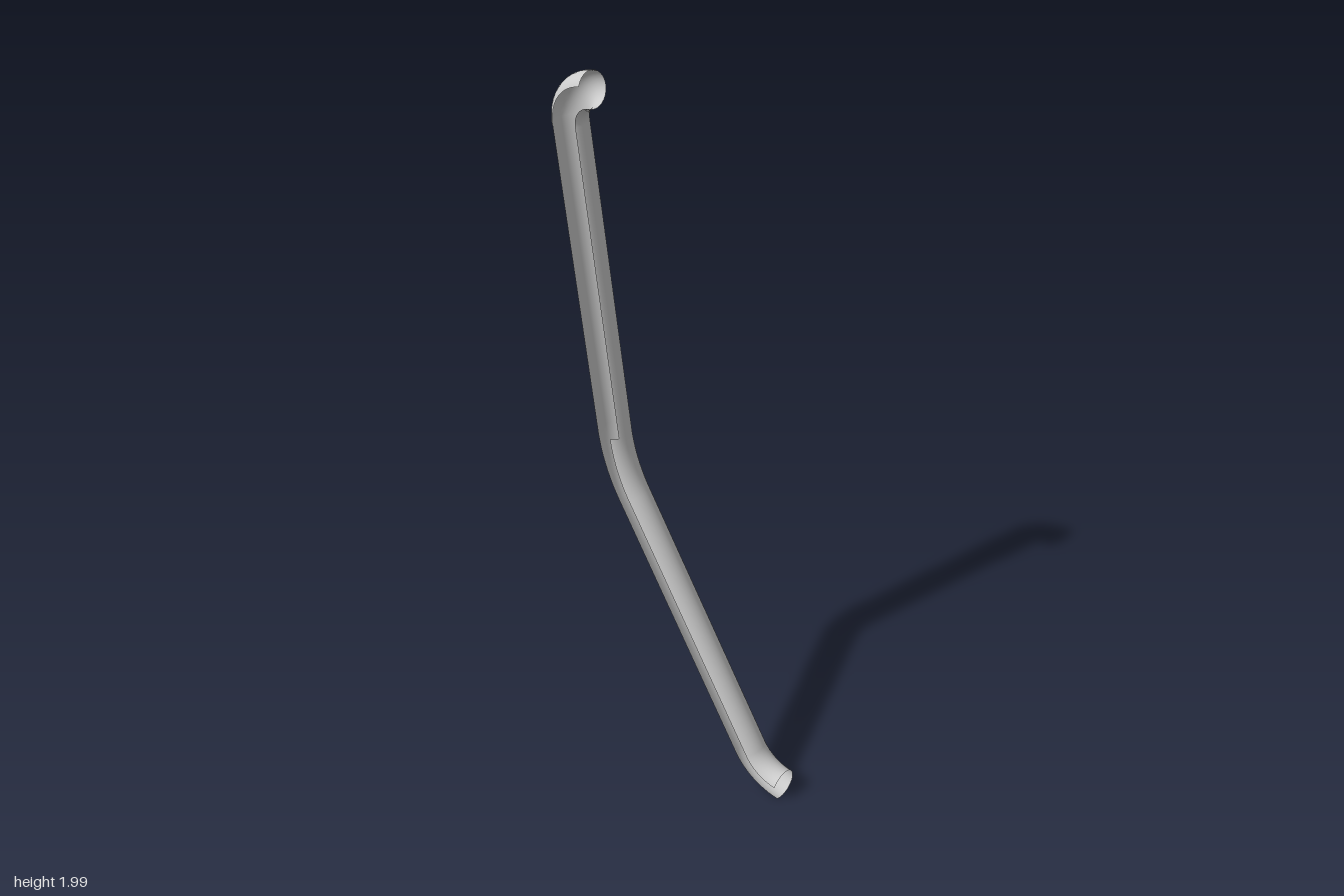
import * as THREE from 'three';

const RADIUS = 0.045;
const rad = THREE.MathUtils.degToRad;
const material = new THREE.MeshStandardMaterial({ color: 0xcccccc, side: THREE.DoubleSide });

// Centreline corners from the foot up; each inner corner is rounded by a tangent length
const corners = [
  { x: 0.378, y: 0.049 },
  { x: 0.3, y: 0.049, tangent: 0.077 },
  { x: -0.209, y: 0.898, tangent: 0.1 },
  { x: -0.344, y: 1.936, tangent: 0.085 },
  { x: -0.26, y: 1.955 },
];

// Sample the rounded centreline as stations { x, y, a }, where a is the heading
function makePath(steps) {
  const heading = (p, q) => Math.atan2(q.y - p.y, q.x - p.x);
  const bends = [];
  for (let i = 1; i < corners.length - 1; i++) {
    const c = corners[i];
    const a0 = heading(corners[i - 1], c);
    let turn = heading(c, corners[i + 1]) - a0;
    turn = Math.atan2(Math.sin(turn), Math.cos(turn));
    const r = c.tangent / Math.tan(turn / 2);   // signed radius
    const cx = c.x - c.tangent * Math.cos(a0) - r * Math.sin(a0);
    const cy = c.y - c.tangent * Math.sin(a0) + r * Math.cos(a0);
    const bend = [];
    for (let k = 0; k <= steps; k++) {
      const a = a0 + (turn * k) / steps;
      bend.push({ x: cx + r * Math.sin(a), y: cy - r * Math.cos(a), a });
    }
    bends.push(bend);
  }
  const first = { ...corners[0], a: bends[0][0].a };
  const last = { ...corners[corners.length - 1], a: bends[2][steps].a };
  return { first, bends, last };
}

// Sweep an arc of the round section along stations; angles run from the front
// (+z) round by the inner (+x) side
function sweepArc(name, stations, fromDeg, toDeg, sides) {
  const positions = [], normals = [], index = [];
  stations.forEach((s, i) => {
    for (let j = 0; j <= sides; j++) {
      const phi = rad(fromDeg + ((toDeg - fromDeg) * j) / sides);
      const nx = Math.sin(phi) * Math.sin(s.a);
      const ny = -Math.sin(phi) * Math.cos(s.a);
      const nz = Math.cos(phi);
      positions.push(s.x + RADIUS * nx, s.y + RADIUS * ny, RADIUS * nz);
      normals.push(nx, ny, nz);
      if (i > 0 && j > 0) {
        const d = i * (sides + 1) + j, c = d - 1, b = d - sides - 1, a = b - 1;
        index.push(a, b, c, b, d, c);
      }
    }
  });
  const geometry = new THREE.BufferGeometry();
  geometry.setAttribute('position', new THREE.Float32BufferAttribute(positions, 3));
  geometry.setAttribute('normal', new THREE.Float32BufferAttribute(normals, 3));
  geometry.setIndex(index);
  const mesh = new THREE.Mesh(geometry, material);
  mesh.name = name;
  return mesh;
}

export function createModel() {
  const { first, bends, last } = makePath(12);
  const [foot, knee, top] = bends;
  const group = new THREE.Group();
  group.name = 'bentChannel';

  // Round channel, open along its front
  group.add(sweepArc('channel', [first, ...foot, ...knee, ...top, last], 56, 304, 20));
  // Lip narrowing the slot on the inner side, from the foot to the middle bend
  group.add(sweepArc('lowerLip', [first, ...foot, ...knee], 26, 56, 4));
  // Lip on the outer side of the top bend
  group.add(sweepArc('upperLip', [...top, last], 304, 334, 4));
  return group;
}
